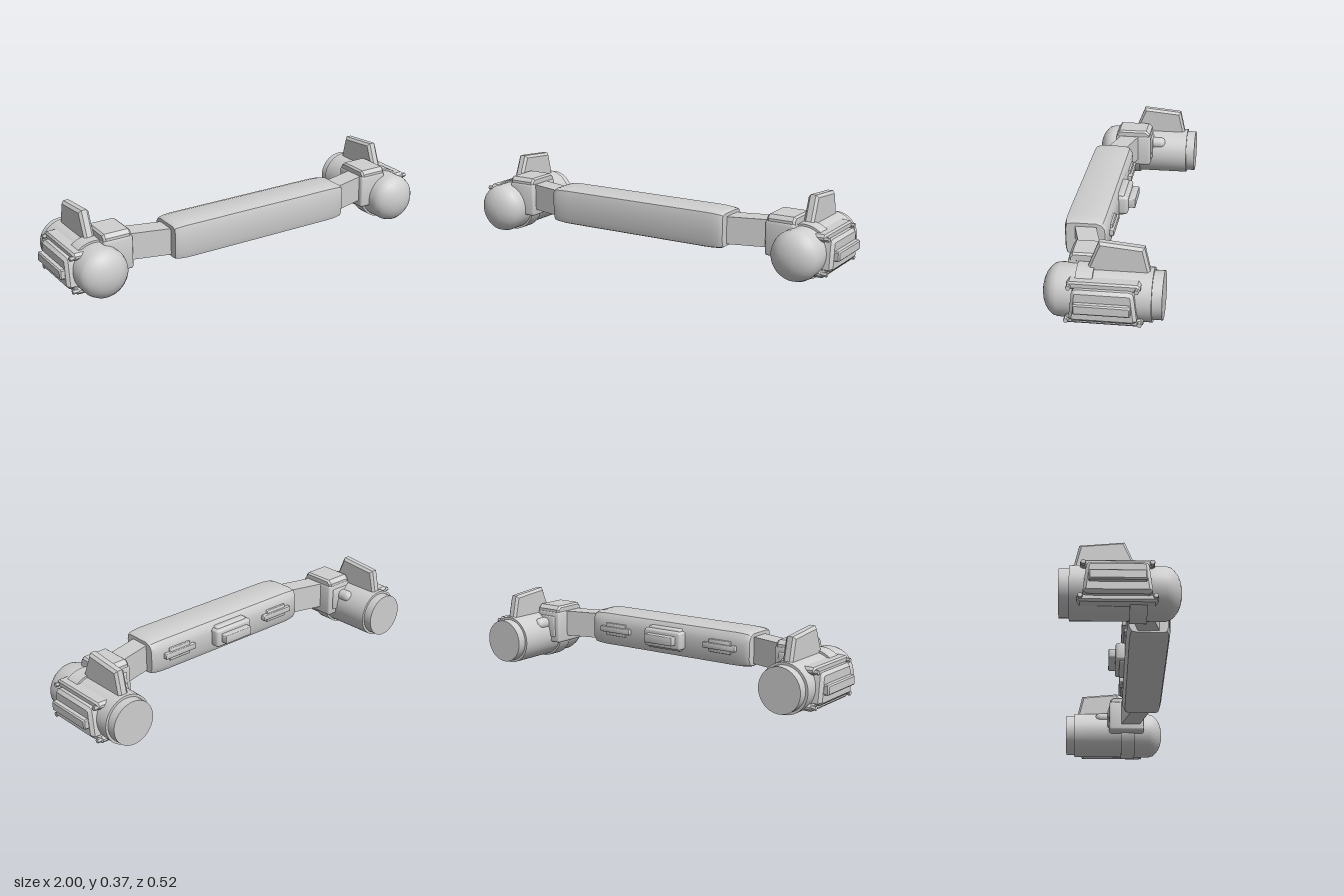
import * as THREE from 'three';
import { toCreasedNormals } from 'three/addons/utils/BufferGeometryUtils.js';
import { RoundedBoxGeometry } from 'three/addons/geometries/RoundedBoxGeometry.js';

const gray = new THREE.MeshStandardMaterial({ color: 0xcfcfcf });
gray.name = 'light gray';

// Extrudes a [z, y] outline along x from x0 to x1, with bevelled ends kept inside the outline.
function extrudeX(points, x0, x1, size = 0.008, thick = size, segments = 1) {
  const shape = new THREE.Shape(points.map(([z, y]) => new THREE.Vector2(-z, y)));
  return new THREE.ExtrudeGeometry(shape, {
    depth: x1 - x0 - 2 * thick, bevelSize: size, bevelOffset: -size,
    bevelThickness: thick, bevelSegments: segments,
  }).rotateY(Math.PI / 2).translate(x0 + thick, 0, 0);
}

// Rounded box given by its limits.
function block(x0, x1, y0, y1, z0, z1, r = 0.008) {
  return new RoundedBoxGeometry(x1 - x0, y1 - y0, z1 - z0, 2, r)
    .translate((x0 + x1) / 2, (y0 + y1) / 2, (z0 + z1) / 2);
}

// Octagon with cut corners, as a [z, y] outline.
function cutRect(z0, z1, y0, y1, c) {
  return [[z0 + c, y0], [z1 - c, y0], [z1, y0 + c], [z1, y1 - c],
    [z1 - c, y1], [z0 + c, y1], [z0, y1 - c], [z0, y0 + c]];
}

// Mirrors a geometry across x = 0 and restores the corner order.
function mirrored(geometry) {
  const g = geometry.index ? geometry.toNonIndexed() : geometry.clone();
  const p = g.attributes.position;
  for (let i = 0; i < p.count; i += 3) {
    const v = [0, 2, 1].map((k) => new THREE.Vector3().fromBufferAttribute(p, i + k));
    v.forEach((q, k) => p.setXYZ(i + k, -q.x, q.y, q.z));
  }
  return g;
}

export function createModel() {
  const model = new THREE.Group();
  model.name = 'sensorBar';
  const sides = { left: new THREE.Group(), right: new THREE.Group() };
  for (const key in sides) {
    sides[key].name = key + 'Side';
    model.add(sides[key]);
  }
  const add = (name, geometry, parent = model) => {
    const mesh = new THREE.Mesh(toCreasedNormals(geometry, 0.6), gray);
    mesh.name = name;
    parent.add(mesh);
  };
  const addPair = (name, geometry) => {
    add(name, geometry, sides.left);
    add(name, mirrored(geometry), sides.right);
  };

  // Central bar, tapering softly at both ends
  add('centralBar', extrudeX([[0.238, 0.15], [0.24, 0.25], [0.232, 0.282], [0.2, 0.29],
    [0.085, 0.29], [0.055, 0.28], [0.038, 0.255], [0.035, 0.225], [0.035, 0.15], [0.05, 0.12],
    [0.08, 0.112], [0.21, 0.112], [0.23, 0.12]], -0.475, 0.475, 0.012, 0.09, 4));

  // Fittings on the back of the bar
  add('rearPlate', block(-0.11, 0.11, 0.16, 0.25, -0.008, 0.05, 0.012));
  add('rearPlateBase', block(-0.095, 0.095, 0.15, 0.26, 0.012, 0.05));
  add('rearHandle', block(-0.083, 0.083, 0.185, 0.228, -0.041, 0.01, 0.004));
  addPair('rearStrip', block(0.225, 0.41, 0.19, 0.218, 0.016, 0.045, 0.004));
  addPair('rearStripBase', block(0.255, 0.38, 0.172, 0.236, 0.026, 0.045, 0.004));

  // Swept arms to the pods
  const arm = new THREE.BoxGeometry(0.25, 0.13, 0.098);
  const p = arm.attributes.position;
  for (let i = 0; i < p.count; i++) p.setZ(i, p.getZ(i) - 0.27 * p.getX(i));
  addPair('arm', arm.translate(0.57, 0.197, 0.11));

  // Mounting blocks with bevelled caps
  addPair('mountBlock', block(0.655, 0.8, 0.1, 0.265, -0.028, 0.16, 0.012));
  addPair('mountCap', extrudeX([[-0.025, 0.25], [-0.025, 0.275], [-0.005, 0.293],
    [0.14, 0.293], [0.155, 0.275], [0.155, 0.25]], 0.66, 0.8, 0.008, 0.01));
  addPair('mountBackPanel', block(0.68, 0.78, 0.13, 0.24, -0.036, 0, 0.006));

  // Pod body: rear cap, drum, collar and domed nose
  const profile = [[0, -0.262], [0.107, -0.262], [0.107, -0.218], [0.119, -0.218],
    [0.119, 0.037], [0.129, 0.037], [0.129, 0.111], [0.119, 0.111], [0.119, 0.19],
    [0.112, 0.213], [0.098, 0.229], [0.078, 0.244], [0.054, 0.254], [0.028, 0.26], [0, 0.262]];
  addPair('podBody', new THREE.LatheGeometry(profile.map(([r, z]) => new THREE.Vector2(r, z)), 40)
    .rotateX(Math.PI / 2).translate(0.825, 0.131, 0));
  addPair('podBrace', new THREE.CapsuleGeometry(0.03, 0.09, 6, 14)
    .rotateX(Math.PI / 2).translate(0.744, 0.2, -0.03));

  // Top fin
  addPair('fin', extrudeX([[0.076, 0.23], [0.018, 0.375], [-0.178, 0.357], [-0.206, 0.23]],
    0.8, 0.85, 0.012));

  // Outer side panel with raised bar
  addPair('sidePanel', extrudeX([[0.132, 0.07], [0.118, 0.058], [-0.142, 0.058], [-0.16, 0.07],
    [-0.146, 0.19], [-0.14, 0.201], [-0.128, 0.206], [0.1, 0.206], [0.112, 0.201],
    [0.118, 0.19]], 0.9, 0.975, 0.014));
  addPair('sideBar', extrudeX(cutRect(-0.136, 0.109, 0.107, 0.154, 0.005), 0.96, 1, 0.006));

  // Rails above and below the panel, with hexagonal bolts at their ends
  for (const [y0, y1, z0, z1, bz0, bz1, by] of [
    [0.196, 0.231, -0.172, 0.143, -0.158, 0.132, 0.21],
    [0.034, 0.068, -0.184, 0.155, -0.17, 0.145, 0.053]]) {
    addPair('sideRail', extrudeX(cutRect(z0, z1, y0, y1, 0.012), 0.875, 0.944, 0.008));
    for (const z of [bz0, bz1]) {
      addPair('railBolt', new THREE.CylinderGeometry(0.011, 0.011, 0.03, 6)
        .rotateZ(-Math.PI / 2).translate(0.945, by, z));
    }
  }
  return model;
}
